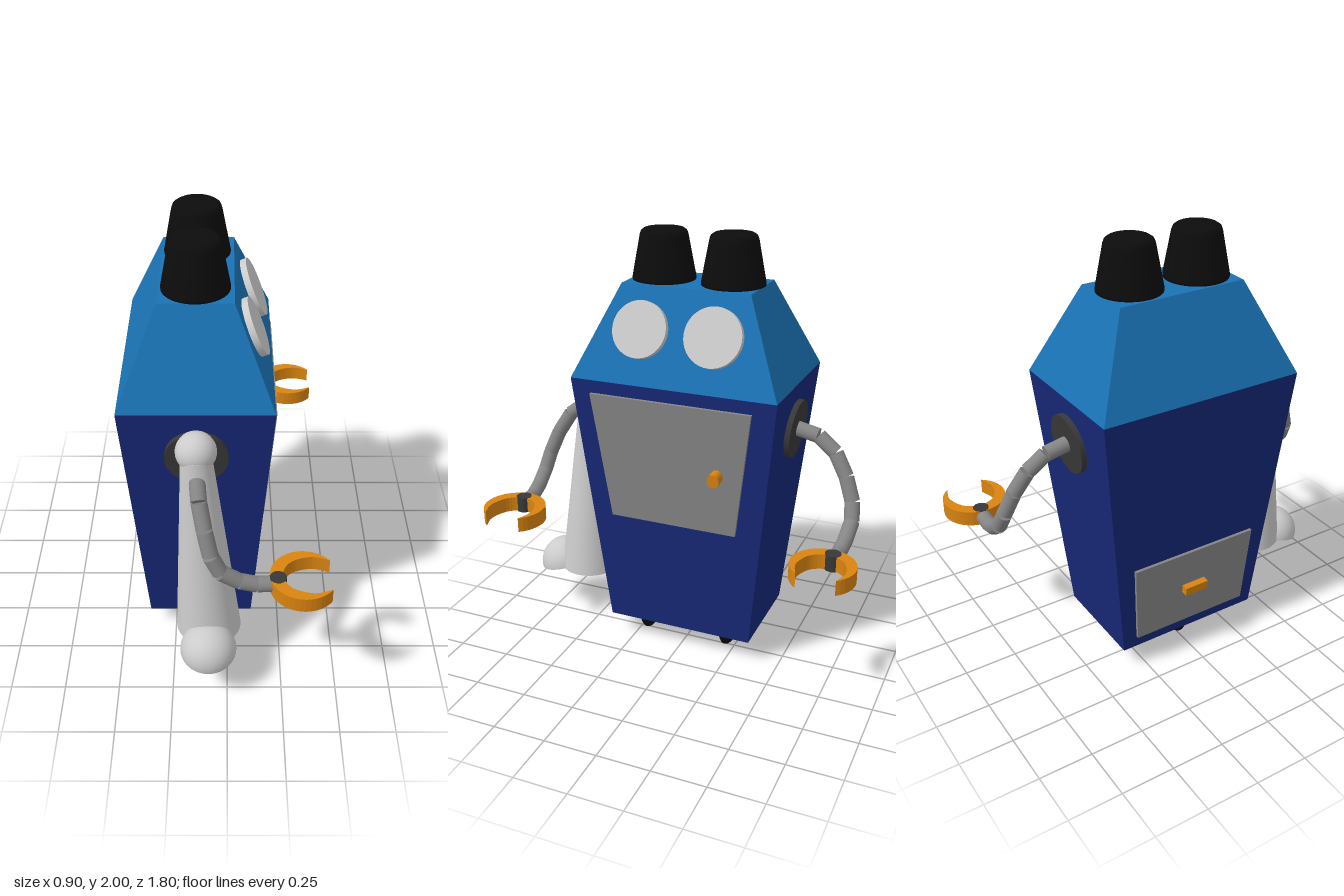
import * as THREE from 'three';

const paint = (color) => new THREE.MeshStandardMaterial({ color });
const navy = paint(0x172878), blue = paint(0x1a72b4), black = paint(0x0c0c0c);
const dark = paint(0x383838), steel = paint(0x858585), orange = paint(0xd98310);
const pale = paint(0xcccccc);

function add(parent, name, geometry, material, x = 0, y = 0, z = 0) {
  const mesh = new THREE.Mesh(geometry, material);
  mesh.name = name;
  mesh.position.set(x, y, z);
  parent.add(mesh);
  return mesh;
}

// Box whose lower and upper rectangles differ: each is [y, x0, x1, halfDepth]
function taperedBox(low, high) {
  const g = new THREE.BoxGeometry(1, 1, 1);
  const p = g.attributes.position;
  for (let i = 0; i < p.count; i++) {
    const [y, x0, x1, d] = p.getY(i) < 0 ? low : high;
    p.setXYZ(i, p.getX(i) < 0 ? x0 : x1, y, Math.sign(p.getZ(i)) * d);
  }
  g.computeVertexNormals();
  return g;
}

// Frame lying on a sloping face: local z points out, local y runs up the slope
function faceFrame(parent, name, x, y, z, turn, tilt) {
  const g = new THREE.Group();
  g.name = name;
  g.position.set(x, y, z);
  g.rotation.set(tilt, turn, 0, 'YXZ');
  parent.add(g);
  return g;
}

// Four-cornered plate with optional slots, each slot [left, right, y]
function plate(corners, depth, slots = []) {
  const shape = new THREE.Shape(corners.map(([x, y]) => new THREE.Vector2(x, y)));
  for (const [l, r, y] of slots) {
    const h = 0.007, hole = new THREE.Path();
    hole.moveTo(l, y - h);
    hole.absarc(l, y, h, -Math.PI / 2, Math.PI / 2, true);
    hole.lineTo(r, y + h);
    hole.absarc(r, y, h, Math.PI / 2, -Math.PI / 2, true);
    shape.holes.push(hole);
  }
  return new THREE.ExtrudeGeometry(shape, { depth, bevelEnabled: false, curveSegments: 6 });
}

// Disc facing local +z
const disc = (r, depth, seg = 40) =>
  new THREE.CylinderGeometry(r, r, depth, seg).rotateX(Math.PI / 2);

// Crescent gripper, flat in xz and open towards +x
function gripper() {
  const R = 0.145, a = 0.64, pts = [];
  for (let i = 0; i <= 32; i++) {
    const t = a + (2 * Math.PI - 2 * a) * i / 32;
    pts.push(new THREE.Vector2(R * Math.cos(t), R * Math.sin(t)));
  }
  const inner = new THREE.SplineCurve([[0.116, -0.087], [0.035, -0.108], [-0.055, -0.075],
    [-0.09, 0], [-0.055, 0.075], [0.035, 0.108], [0.116, 0.087]]
    .map(([x, y]) => new THREE.Vector2(x, y)));
  pts.push(...inner.getPoints(32).slice(1, -1));
  return new THREE.ExtrudeGeometry(new THREE.Shape(pts), { depth: 0.07, bevelEnabled: false })
    .rotateX(Math.PI / 2).translate(0, 0.035, 0);
}

// Jointed arm on one side: shoulder plate, segments, wrist and gripper
function makeArm(parent, side) {
  const arm = new THREE.Group();
  arm.name = side > 0 ? 'leftSideArm' : 'rightSideArm';
  parent.add(arm);
  const shoulder = faceFrame(arm, 'shoulder', -0.13, 1.14, side * 0.467, side > 0 ? 0 : Math.PI, 0.104);
  add(shoulder, 'shoulderPlate', disc(0.136, 0.05), dark, 0, 0, 0);

  const joints = [[-0.13, 1.145, 0.47], [-0.127, 1.12, 0.59], [-0.117, 1.055, 0.675],
    [-0.095, 0.955, 0.735], [-0.07, 0.85, 0.775], [-0.03, 0.77, 0.787],
    [0.05, 0.715, 0.782], [0.125, 0.69, 0.775], [0.2, 0.69, 0.77]]
    .map(([x, y, z]) => new THREE.Vector3(x, y, side * z));
  for (let i = 1; i < joints.length; i++) {
    const dir = joints[i].clone().sub(joints[i - 1]);
    const seg = add(arm, 'armSegment',
      new THREE.CylinderGeometry(0.035, 0.035, dir.length() * 0.96, 20), steel);
    seg.position.copy(joints[i - 1]).addScaledVector(dir, 0.5);
    seg.quaternion.setFromUnitVectors(new THREE.Vector3(0, 1, 0), dir.normalize());
  }
  add(arm, 'wrist', new THREE.CylinderGeometry(0.036, 0.036, 0.074, 24), dark, 0.215, 0.69, side * 0.77);
  add(arm, 'gripper', gripper(), orange, 0.325, 0.69, side * 0.755);
}

export function createModel() {
  const model = new THREE.Group();
  model.name = 'robot';

  // Body and head
  add(model, 'body', taperedBox([0.11, -0.37, 0.115, 0.36], [1.36, -0.46, 0.2, 0.49]), navy);
  add(model, 'head', taperedBox([1.36, -0.46, 0.2, 0.49], [1.775, -0.285, 0.03, 0.305]), blue);

  // Two tapered caps with softened rims
  const capProfile = [[0, 0], [0.145, 0], [0.145, 0.01], [0.109, 0.2], [0.103, 0.216], [0.09, 0.225], [0, 0.225]]
    .map(([r, y]) => new THREE.Vector2(r, y));
  for (const z of [0.167, -0.167]) {
    add(model, 'headCap', new THREE.LatheGeometry(capProfile, 40), black, -0.13, 1.775, z);
  }

  // Round eyes on the sloping face
  for (const [z, r] of [[0.177, 0.129], [-0.17, 0.134]]) {
    const eye = faceFrame(model, 'eye', 0.106, 1.59, z, Math.PI / 2, -0.389);
    add(eye, 'eyeDisc', disc(r, 0.04), pale, 0, 0, 0.008);
  }

  // Front door with slots and knob
  const door = faceFrame(model, 'frontDoor', 0.175, 0.995, 0, Math.PI / 2, 0.068);
  add(door, 'doorPanel', plate(
    [[-0.315, -0.305], [0.3, -0.305], [0.378, 0.305], [-0.393, 0.305]], 0.014,
    [[-0.225, 0.205, 0.24], [-0.16, 0.14, 0.202], [-0.125, 0.108, -0.193], [-0.18, 0.165, -0.23]]), steel);
  add(door, 'doorKnob', disc(0.033, 0.07, 28), orange, 0.218, -0.012, 0.03).scale.x = 0.85;

  // Rear drawer with handle
  const drawer = faceFrame(model, 'rearDrawer', -0.389, 0.37, 0, -Math.PI / 2, 0.072);
  add(drawer, 'drawerPanel', plate(
    [[-0.295, -0.2], [0.295, -0.2], [0.32, 0.2], [-0.32, 0.2]], 0.014), steel);
  add(drawer, 'drawerHandle', new THREE.BoxGeometry(0.12, 0.042, 0.045), orange, 0, 0, 0.024);

  // Three flattened wheels
  for (const [x, z] of [[-0.022, 0.21], [-0.022, -0.21], [-0.24, 0]]) {
    add(model, 'wheel', new THREE.SphereGeometry(0.09, 32, 20), black, x, 0.09, z).scale.z = 0.45;
  }

  makeArm(model, 1);
  makeArm(model, -1);

  // Hanging hose: ball, leaning cone, and domed nozzle
  const hose = new THREE.Group();
  hose.name = 'sideHose';
  model.add(hose);
  add(hose, 'hoseBall', new THREE.SphereGeometry(0.088, 32, 20), pale, -0.13, 1.203, 0.525);
  const cone = new THREE.CylinderGeometry(0.066, 0.147, 0.95, 40);
  cone.applyMatrix4(new THREE.Matrix4().set(
    1, -0.045 / 0.95, 0, 0, 0, 1, 0, 0, 0, -0.03 / 0.95, 1, 0, 0, 0, 0, 1));
  add(hose, 'hoseCone', cone, pale, -0.107, 0.725, 0.563);
  const nozzle = new THREE.Group();
  nozzle.name = 'nozzle';
  nozzle.position.set(-0.085, 0.237, 0.725);
  nozzle.rotation.x = 0.25;
  hose.add(nozzle);
  add(nozzle, 'nozzleDome',
    new THREE.SphereGeometry(0.127, 32, 12, 0, Math.PI * 2, 0, Math.PI / 2), pale);
  add(nozzle, 'nozzleBase', new THREE.CircleGeometry(0.127, 32).rotateX(Math.PI / 2), pale);

  return model;
}
